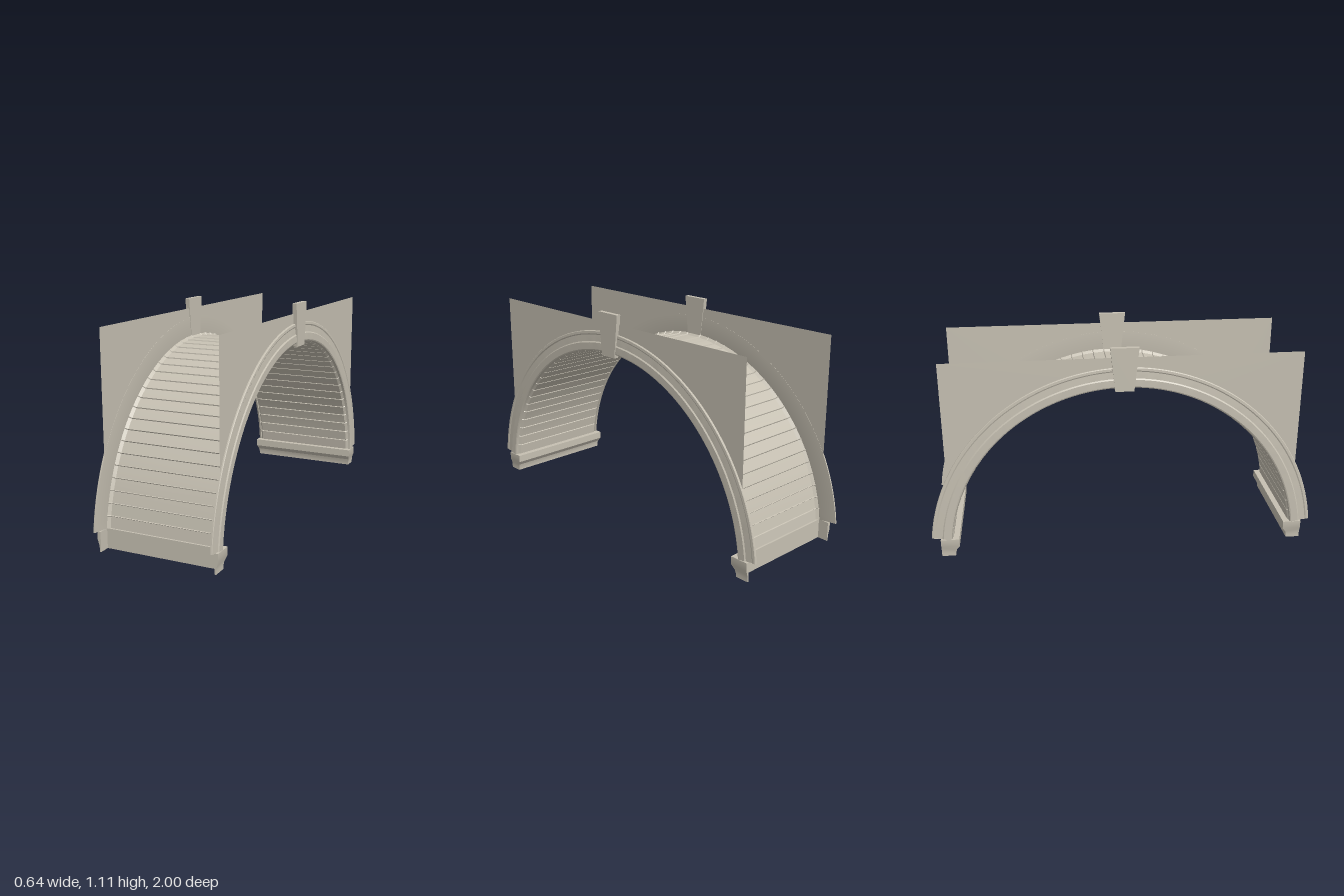
import * as THREE from 'three';
import { toCreasedNormals } from 'three/addons/utils/BufferGeometryUtils.js';

const START = THREE.MathUtils.degToRad(6.3);
const END = Math.PI - START;

// Surface through rows of [x, y, z] points
function loft(rows) {
  const n = rows[0].length, index = [];
  for (let i = 0; i < rows.length - 1; i++) {
    for (let j = 0; j < n - 1; j++) {
      const a = i * n + j, b = a + n;
      index.push(a, b, a + 1, b, b + 1, a + 1);
    }
  }
  const g = new THREE.BufferGeometry();
  g.setAttribute('position', new THREE.Float32BufferAttribute(rows.flat(2), 3));
  g.setIndex(index);
  return toCreasedNormals(g, 0.35);
}

// Close both ends of a loft by collapsing a row to its centre
function capped(rows) {
  const collapse = (row) => {
    const c = [0, 1, 2].map((k) => row.reduce((s, p) => s + p[k], 0) / row.length);
    return row.map(() => c);
  };
  return [collapse(rows[0]), ...rows, collapse(rows[rows.length - 1])];
}

// Sweep a [radius, x] profile to one angle of the arch
const station = (profile, a, lift = 0) =>
  profile.map(([r, x]) => [x, (r + lift) * Math.sin(a), (r + lift) * Math.cos(a)]);

// Courses of flat stones with thin recessed joints and a wider crown course
function vaultGeometry() {
  const profile = [[0.91, -0.3], [0.896, -0.285], [0.896, 0.285], [0.91, 0.3]];
  const half = 21, crown = 0.052, step = (Math.PI / 2 - crown - START) / half;
  const joints = [];
  for (let i = 0; i <= half; i++) joints.push(START + i * step);
  for (let i = half; i >= 0; i--) joints.push(Math.PI - START - i * step);
  const rows = [];
  joints.forEach((a, i) => {
    const inner = i > 0 && i < joints.length - 1;
    if (inner) {
      rows.push(station(profile, a - 0.003));
      rows.push(station(profile, a, 0.005));
      rows.push(station(profile, a + 0.003));
    } else rows.push(station(profile, a));
  });
  return loft(rows);
}

// Moulded ring around the opening
function archivoltGeometry(side) {
  const profile = [
    [0.91, 0.298], [0.9, 0.3], [0.904, 0.312], [0.91, 0.315], [0.945, 0.315], [0.951, 0.31],
    [0.985, 0.307], [0.991, 0.31], [1.003, 0.309], [1.006, 0.306], [1.006, 0.299], [0.91, 0.298],
  ].map(([r, x]) => [r, x * side]);
  const rows = [];
  for (let i = 0; i <= 72; i++) rows.push(station(profile, START + (END - START) * i / 72));
  return loft(capped(rows));
}

// Flat spandrel wall with the arch cut away
function wallGeometry() {
  const s = new THREE.Shape();
  s.moveTo(-0.9, 0.1);
  s.lineTo(-0.9, 1.055);
  s.lineTo(0.9, 1.055);
  s.lineTo(0.9, 0.1);
  s.absarc(0, 0, 0.906, START, END, false);
  return new THREE.ShapeGeometry(s, 64).rotateY(Math.PI / 2);
}

function keystoneGeometry() {
  const s = new THREE.Shape();
  s.moveTo(-0.047, 0.885);
  s.lineTo(0.047, 0.885);
  s.lineTo(0.071, 1.108);
  s.lineTo(-0.071, 1.108);
  return new THREE.ExtrudeGeometry(s, { depth: 0.023, bevelEnabled: false })
    .translate(0, 0, -0.0115).rotateY(Math.PI / 2);
}

// Moulding along the springing line, returned around both jambs
function impostGeometry(zSide) {
  const profile = [
    [0, 0], [0.4, 0], [0.42, 0.018], [0.55, 0.036], [0.85, 0.052], [1, 0.06], [1, 0.1], [0, 0.1], [0, 0],
  ];
  const path = [[-1, 0.955, 0], [-1, 0.9, 1], [1, 0.9, 1], [1, 0.955, 0]];
  const rows = path.map(([side, z, turn]) =>
    profile.map(([d, y]) => [side * (0.299 + 0.017 * d), y, zSide * (z - 0.04 * d * turn)]));
  return loft(capped(rows));
}

export function createModel() {
  const group = new THREE.Group();
  const stone = new THREE.MeshStandardMaterial({ color: 0xc6c0b2, side: THREE.DoubleSide });
  stone.name = 'stone';

  const add = (name, geometry, x = 0) => {
    const mesh = new THREE.Mesh(geometry, stone);
    mesh.name = name;
    mesh.position.x = x;
    group.add(mesh);
  };

  add('vault', vaultGeometry());
  for (const side of [1, -1]) {
    const label = side > 0 ? 'left' : 'right';
    add(label + 'Wall', wallGeometry(), side * 0.3);
    add(label + 'Archivolt', archivoltGeometry(side));
    add(label + 'Keystone', keystoneGeometry(), side * 0.3075);
    add(side > 0 ? 'frontImpost' : 'backImpost', impostGeometry(side));
  }
  return group;
}
